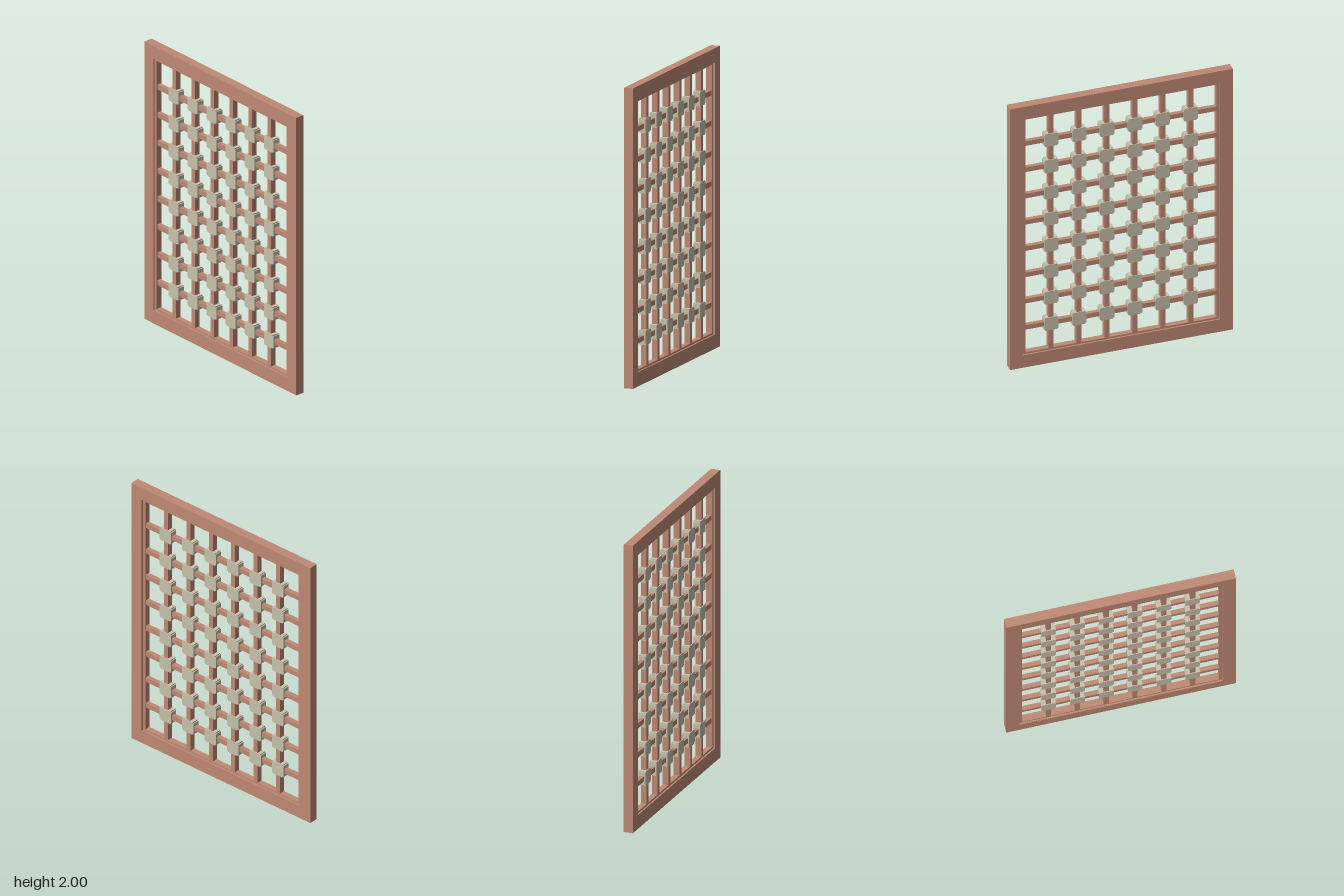
import * as THREE from 'three';

const wood = new THREE.MeshStandardMaterial({ color: 0xbf8a75 });
const stone = new THREE.MeshStandardMaterial({ color: 0xc8c1ac });

// Rectangular ring between two half-width / bottom / top rectangles, centred in z
function ring(outer, inner, depth) {
  const rect = (path, [hw, y0, y1]) => {
    path.moveTo(-hw, y0);
    path.lineTo(hw, y0);
    path.lineTo(hw, y1);
    path.lineTo(-hw, y1);
    path.closePath();
    return path;
  };
  const shape = rect(new THREE.Shape(), outer);
  shape.holes.push(rect(new THREE.Path(), inner));
  return new THREE.ExtrudeGeometry(shape, { depth, bevelEnabled: false }).translate(0, 0, -depth / 2);
}

// Square block with a small step cut from each corner
function notchedBlock(half, notch, depth) {
  const a = half, b = half - notch;
  const points = [
    [b, -a], [b, -b], [a, -b], [a, b], [b, b], [b, a],
    [-b, a], [-b, b], [-a, b], [-a, -b], [-b, -b], [-b, -a],
  ].map(([x, y]) => new THREE.Vector2(x, y));
  return new THREE.ExtrudeGeometry(new THREE.Shape(points), { depth, bevelEnabled: false })
    .translate(0, 0, -depth / 2);
}

export function createModel() {
  const model = new THREE.Group();
  model.name = 'latticePanel';

  const add = (name, geometry, material, x = 0, y = 0) => {
    const mesh = new THREE.Mesh(geometry, material);
    mesh.name = name;
    mesh.position.set(x, y, 0);
    model.add(mesh);
  };

  // Outer frame and the thinner lip inside it
  add('frame', ring([0.77, 0, 2], [0.68, 0.095, 1.907], 0.064), wood);
  add('innerLip', ring([0.68, 0.095, 1.907], [0.66, 0.108, 1.893], 0.04), wood);

  const columns = Array.from({ length: 6 }, (_, i) => (i - 2.5) * 0.193);
  const rows = Array.from({ length: 8 }, (_, i) => 1.0 + (i - 3.5) * 0.2015);

  // Lattice bars
  const upright = new THREE.BoxGeometry(0.034, 1.79, 0.04);
  const rail = new THREE.BoxGeometry(1.325, 0.034, 0.03);
  for (const x of columns) add('verticalBar', upright, wood, x, 1.0);
  for (const y of rows) add('horizontalBar', rail, wood, 0, y);

  // Blocks at the crossings
  const block = notchedBlock(0.049, 0.007, 0.05);
  for (const x of columns) for (const y of rows) add('crossingBlock', block, stone, x, y);

  return model;
}
